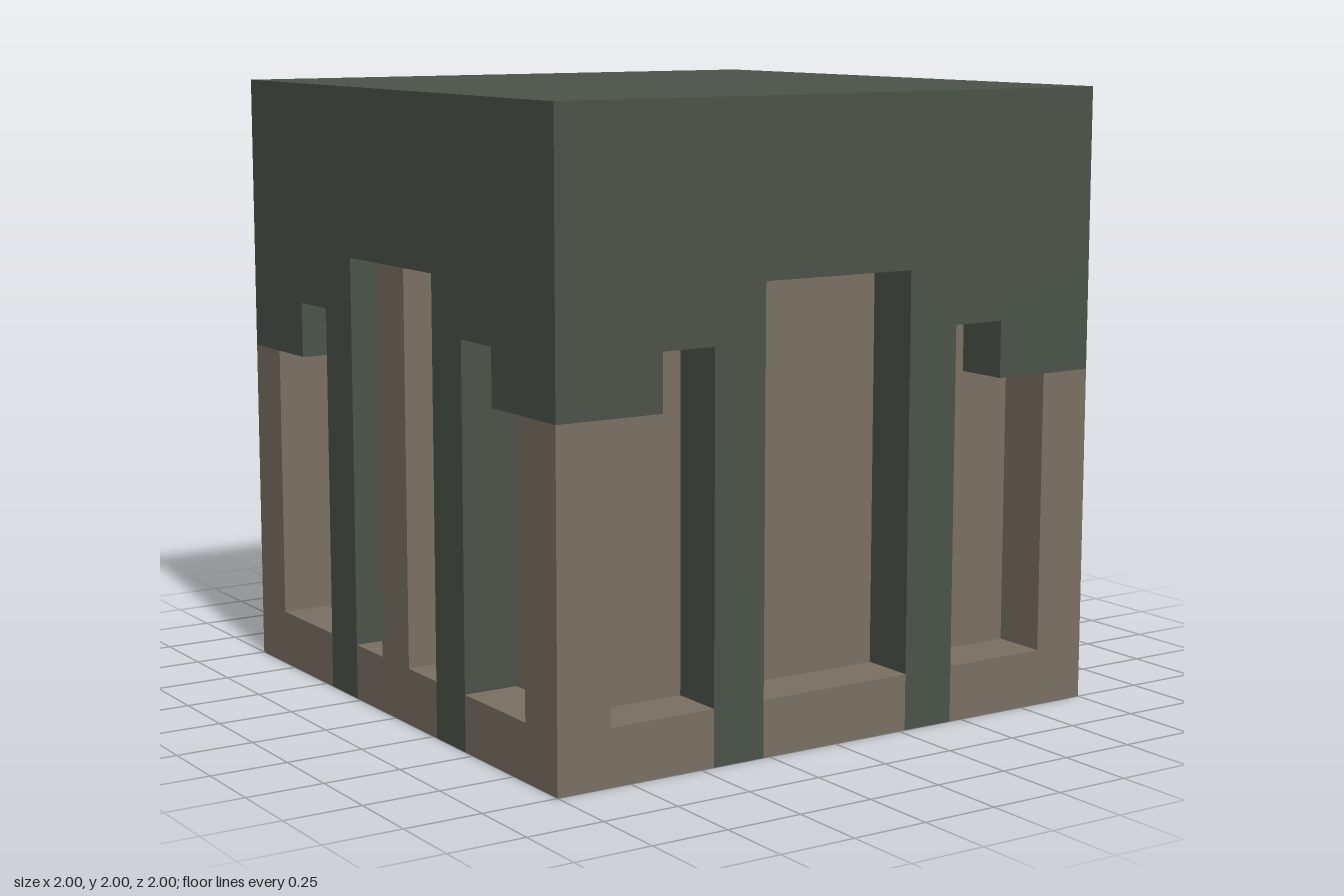
import * as THREE from 'three';

const CELL = 2 / 11; // the block is an 11 x 11 x 11 lattice

export function createModel() {
  const group = new THREE.Group();
  const stone = new THREE.MeshStandardMaterial({ color: 0x7a7062 });
  stone.name = 'warm stone';
  const moss = new THREE.MeshStandardMaterial({ color: 0x4b5349 });
  moss.name = 'dark green';

  // Box between lattice corners: x and z run 0..11 from the -x / -z sides, y from the ground
  function block(name, material, x0, x1, y0, y1, z0, z1) {
    const mesh = new THREE.Mesh(
      new THREE.BoxGeometry((x1 - x0) * CELL, (y1 - y0) * CELL, (z1 - z0) * CELL), material);
    mesh.position.set((x0 + x1 - 11) / 2 * CELL, (y0 + y1) / 2 * CELL, (z0 + z1 - 11) / 2 * CELL);
    mesh.name = name;
    group.add(mesh);
  }

  // Solid cap and recessed core
  block('topCap', moss, 0, 11, 8, 11, 0, 11);
  block('core', stone, 1, 10, 1, 8, 1, 10);

  // Stepped apron with two legs, hanging below the cap; end is where the corner is cut
  function apron(name, end, turn) {
    const half = [[end, 8], [end, 6], [2, 6], [2, 7], [3, 7], [3, 1], [4, 1], [4, 8]];
    const holder = new THREE.Group();
    for (const side of [1, -1]) {
      const points = half.map(([x, y]) => new THREE.Vector2(side * (x - 5.5) * CELL, y * CELL));
      const geometry = new THREE.ExtrudeGeometry(new THREE.Shape(points),
        { depth: CELL, bevelEnabled: false });
      geometry.translate(0, 0, 4.5 * CELL);
      const mesh = new THREE.Mesh(geometry, moss);
      mesh.name = name + (side > 0 ? 'FirstHalf' : 'SecondHalf');
      holder.add(mesh);
    }
    holder.name = name;
    holder.rotation.y = turn;
    group.add(holder);
  }
  apron('frontApron', 0, 0);
  apron('backApron', 0, Math.PI);
  apron('leftApron', 1, Math.PI / 2);
  apron('rightApron', 1, -Math.PI / 2);

  // Corner posts, and the middle column on the left and right faces
  for (const x of [0, 10]) {
    for (const z of [0, 10]) block('cornerPost', stone, x, x + 1, 0, 6, z, z + 1);
    block('sideColumn', stone, x, x + 1, 1, 8, 5, 6);
  }

  // Bottom rails between the green bars
  for (const edge of [0, 10]) {
    for (const [a, b] of [[1, 3], [4, 7], [8, 10]]) {
      block('baseRailX', stone, a, b, 0, 1, edge, edge + 1);
      block('baseRailZ', stone, edge, edge + 1, 0, 1, a, b);
    }
  }

  // Crossing green bars underneath
  for (const bar of [3, 7]) {
    block('underBarZ', moss, bar, bar + 1, 0, 1, 0, 11);
    for (const [a, b] of [[0, 3], [4, 7], [8, 11]]) block('underBarX', moss, a, b, 0, 1, bar, bar + 1);
  }

  // Small stone dividers in the middle pits underneath
  block('underDividerMiddle', stone, 4, 7, 0, 1, 5, 6);
  block('underDividerBack', stone, 5, 6, 0, 1, 1, 3);
  block('underDividerFront', stone, 5, 6, 0, 1, 8, 10);

  return group;
}
